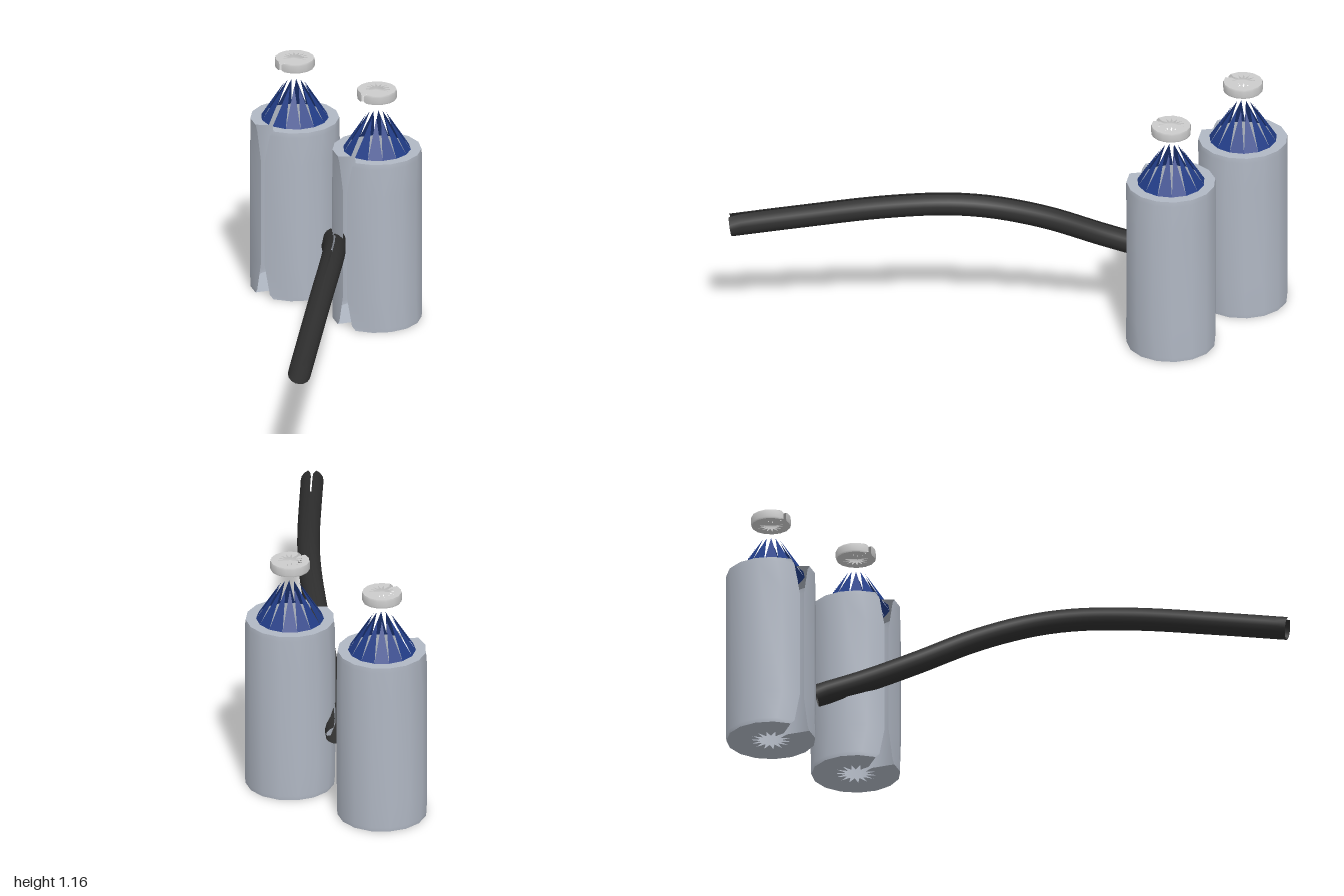
import * as THREE from 'three';

const SEGMENTS = 14;

const paint = (color) => new THREE.MeshStandardMaterial({ color, side: THREE.DoubleSide });
const steel = paint(0xb0b7c3);
const blue = paint(0x213c86);
const pale = paint(0xcccccc);
const rubber = paint(0x2e2e2e);

function part(name, geometry, material) {
  const mesh = new THREE.Mesh(geometry, material);
  mesh.name = name;
  return mesh;
}

function surface(positions, index) {
  const g = new THREE.BufferGeometry();
  g.setAttribute('position', new THREE.Float32BufferAttribute(positions, 3));
  if (index) g.setIndex(index);
  g.computeVertexNormals();
  return g;
}

// Angle around a split ring, leaving a gap of half width w centred on angle 0
function splitAngle(i, r, w) {
  const start = Math.asin(Math.min(0.95, w / r));
  return start + (i / SEGMENTS) * 2 * (Math.PI - start);
}

// Joins the cross-sections given by point(i, row) into one skin
function skin(rows, point) {
  const positions = [];
  const index = [];
  const n = SEGMENTS + 1;
  for (let j = 0; j < rows; j++) {
    for (let i = 0; i < n; i++) {
      positions.push(...point(i, j));
      if (i < SEGMENTS && j < rows - 1) {
        const a = j * n + i;
        index.push(a, a + 1, a + n, a + 1, a + n + 1, a + n);
      }
    }
  }
  return surface(positions, index);
}

function ringPoint(i, [r, y, w]) {
  const a = splitAngle(i, r, w);
  return [r * Math.sin(a), y, r * Math.cos(a)];
}

// Split turned shell, rows are [radius, height, half gap]
const shell = (rows) => skin(rows.length, (i, j) => ringPoint(i, rows[j]));

// Ring of pointed petals standing on a base row
function petals(base, tipR, tipY, flip = false) {
  const positions = [];
  for (let i = 0; i < SEGMENTS; i++) {
    const a = ringPoint(i, base);
    const b = ringPoint(i + 1, base);
    const mid = (splitAngle(i, base[0], base[2]) + splitAngle(i + 1, base[0], base[2])) / 2;
    const tip = [tipR * Math.sin(mid), tipY, tipR * Math.cos(mid)];
    positions.push(...(flip ? [...b, ...a, ...tip] : [...a, ...b, ...tip]));
  }
  return surface(positions);
}

function createTank() {
  const tank = new THREE.Group();
  tank.name = 'tank';
  // Wall, with a front seam that flares at both ends
  tank.add(part('tankWall', shell([
    [0.21, 0, 0.06], [0.212, 0.02, 0.042], [0.213, 0.16, 0.013],
    [0.213, 0.69, 0.013], [0.212, 0.83, 0.042], [0.21, 0.855, 0.06],
  ]), steel));
  tank.add(part('tankShoulder', shell([[0.21, 0.855, 0.06], [0.16, 0.855, 0.013]]), steel));
  tank.add(part('tankBase', shell([[0.1, 0, 0.01], [0.21, 0, 0.06]]), steel));
  tank.add(part('tankBasePetals', petals([0.1, 0, 0.01], 0.05, 0, true), steel));
  // Pointed crown
  tank.add(part('crownPetals', petals([0.16, 0.855, 0.013], 0.05, 1.027), blue));
  // Floating cap
  tank.add(part('capWall', shell([
    [0.092, 1.112, 0.02], [0.095, 1.12, 0.008], [0.095, 1.148, 0.008], [0.092, 1.157, 0.02],
  ]), pale));
  tank.add(part('capTop', shell([[0.092, 1.157, 0.02], [0.064, 1.157, 0.006]]), pale));
  tank.add(part('capTopPetals', petals([0.064, 1.157, 0.006], 0.03, 1.157), pale));
  tank.add(part('capBottom', shell([[0.064, 1.112, 0.006], [0.092, 1.112, 0.02]]), pale));
  tank.add(part('capBottomPetals', petals([0.064, 1.112, 0.006], 0.03, 1.112, true), pale));
  return tank;
}

// Curved hose with a narrow seam along its top
function createHose() {
  const path = new THREE.CatmullRomCurve3([
    [-0.51, 0.315, -0.755], [-0.35, 0.385, -0.59], [-0.18, 0.475, -0.415],
    [0.02, 0.59, -0.225], [0.2, 0.66, -0.04], [0.34, 0.68, 0.125],
    [0.52, 0.661, 0.36], [0.75, 0.605, 0.67], [0.947, 0.552, 0.937],
  ].map((p) => new THREE.Vector3(...p)));
  const steps = 40;
  const radius = 0.054;
  const up = new THREE.Vector3(0, 1, 0);
  return part('hose', skin(steps + 1, (i, j) => {
    const t = j / steps;
    const tangent = path.getTangentAt(t);
    const side = tangent.clone().cross(up).normalize();
    const top = side.clone().cross(tangent);
    const nearEnd = Math.max(0, 1 - Math.min(t, 1 - t) / 0.03);
    const a = splitAngle(i, radius, 0.004 + 0.014 * nearEnd);
    return path.getPointAt(t)
      .addScaledVector(side, radius * Math.sin(a))
      .addScaledVector(top, radius * Math.cos(a))
      .toArray();
  }), rubber);
}

export function createModel() {
  const model = new THREE.Group();
  model.name = 'twinTanksWithHose';
  for (const x of [-0.787, -0.24]) {
    const tank = createTank();
    tank.position.set(x, 0, -0.768);
    model.add(tank);
  }
  model.add(createHose());
  return model;
}
